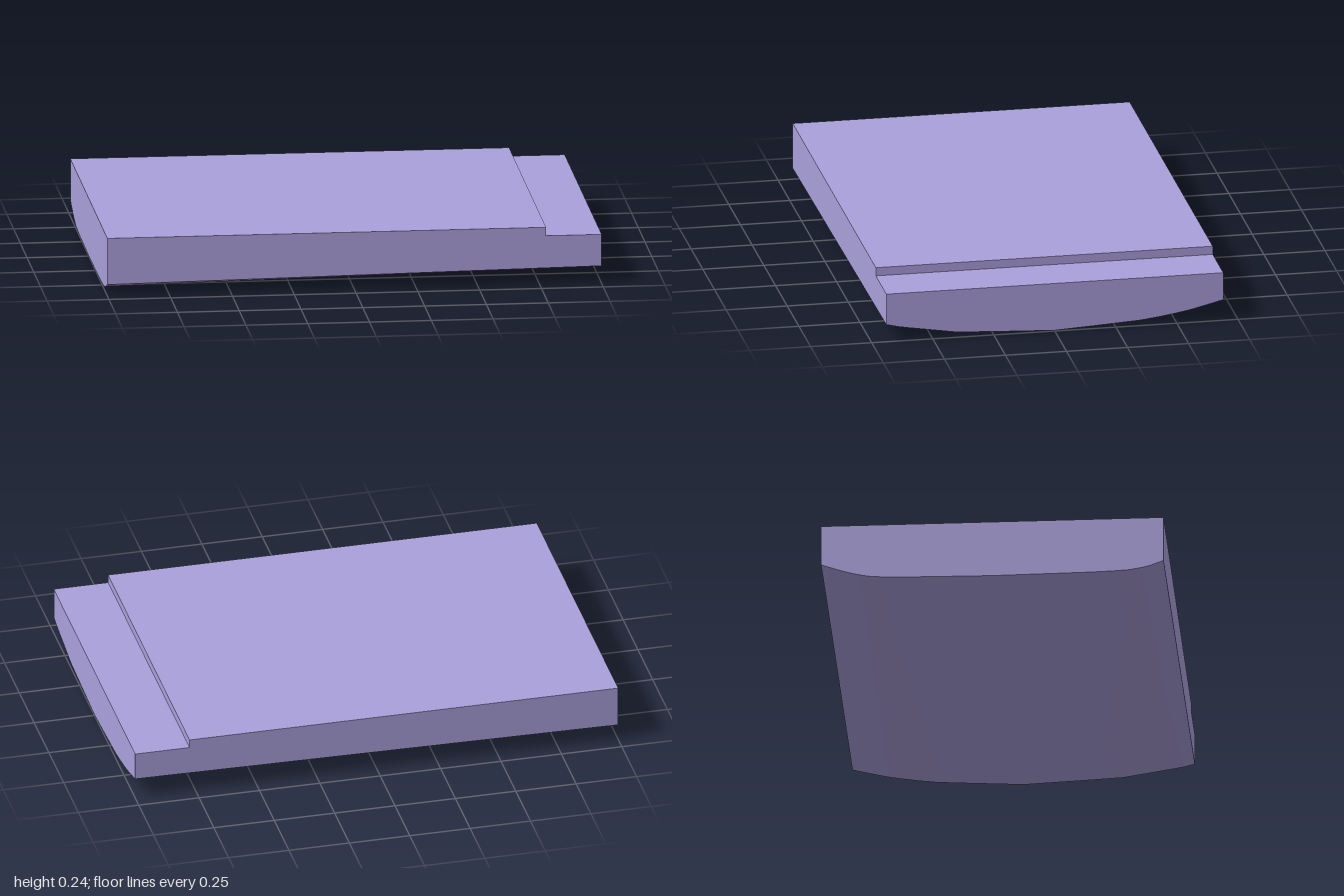
import * as THREE from 'three';
import { toCreasedNormals } from 'three/addons/utils/BufferGeometryUtils.js';

// stations across the depth, with underside heights at the right (-x) and left (+x) ends
const Z = [-0.69, -0.64, -0.6, -0.55, -0.5, -0.43, -0.35, -0.18, 0, 0.2, 0.4, 0.5, 0.55, 0.6, 0.64, 0.69];
const RIGHT = [0.068, 0.05, 0.036, 0.022, 0.012, 0.006, 0.004, 0.002, 0, 0.002, 0.004, 0.007, 0.01, 0.018, 0.028, 0.047];
const LEFT = [0.088, 0.075, 0.065, 0.053, 0.044, 0.033, 0.023, 0.013, 0.003, 0.012, 0.022, 0.038, 0.046, 0.054, 0.061, 0.073];

// stations along the length; the repeated one makes the step in the top
const STEP = 0.775;
const X = [-1, -0.75, -0.5, -0.25, 0, 0.25, 0.5, STEP, STEP, 1];
const STEP_COLUMN = 8;

export function createModel() {
  const group = new THREE.Group();
  group.name = 'steppedSlab';

  // unit box whose grid is moved onto the stations
  const nx = X.length - 1, nz = Z.length - 1;
  const box = new THREE.BoxGeometry(1, 1, 1, nx, 1, nz);
  const p = box.attributes.position;
  for (let i = 0; i < p.count; i++) {
    const column = Math.round((p.getX(i) + 0.5) * nx);
    const row = Math.round((p.getZ(i) + 0.5) * nz);
    const x = X[column];
    const top = column < STEP_COLUMN ? 0.238 : 0.203;
    const bottom = THREE.MathUtils.lerp(RIGHT[row], LEFT[row], (x + 1) / 2);
    p.setXYZ(i, x, p.getY(i) > 0 ? top : bottom, Z[row]);
  }

  const slab = new THREE.Mesh(
    toCreasedNormals(box, 0.6),
    new THREE.MeshStandardMaterial({ color: 0xaba0dc })
  );
  slab.name = 'slabWithCurvedUnderside';
  group.add(slab);
  return group;
}
